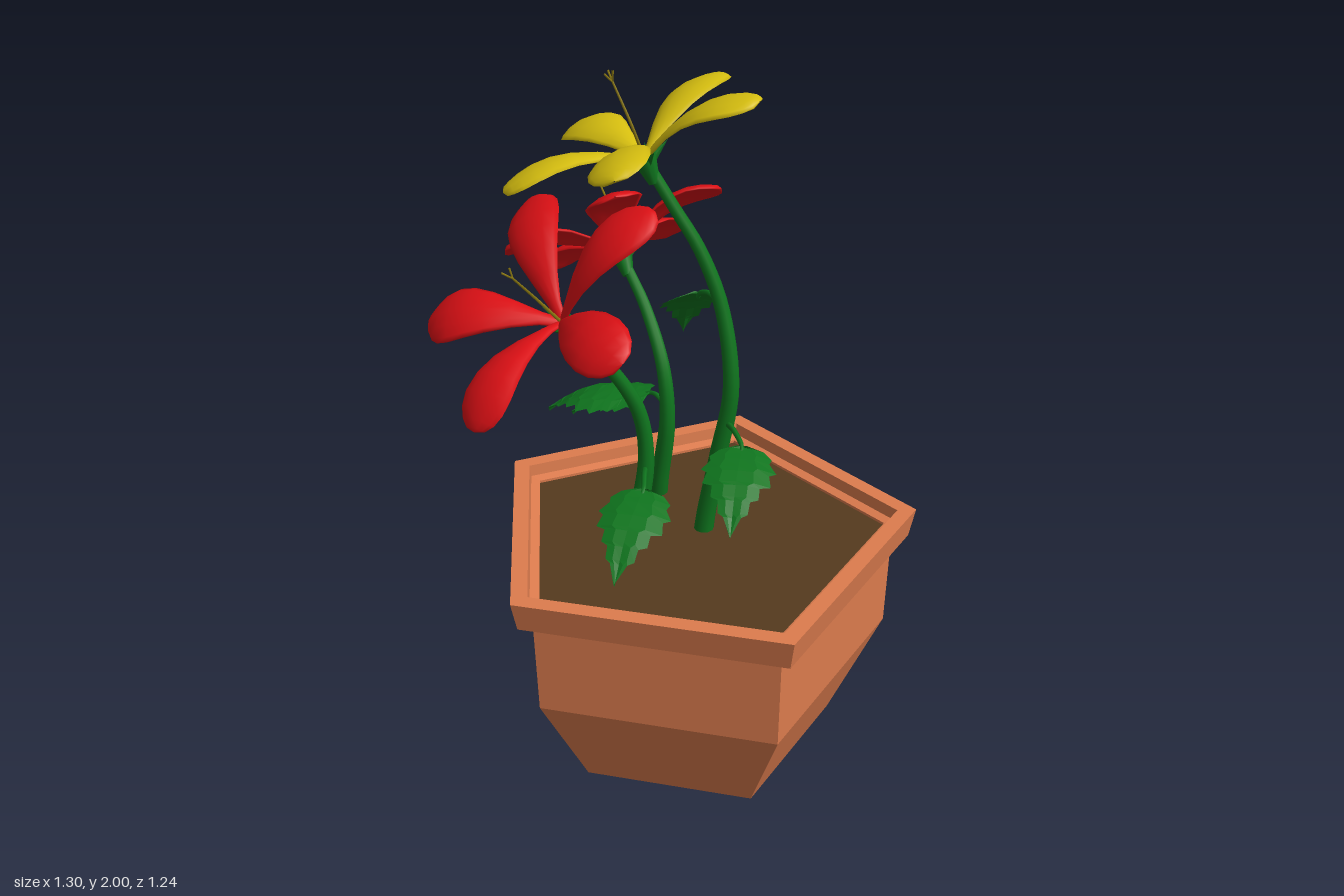
import * as THREE from 'three';

const V = (a) => new THREE.Vector3(...a);
const mat = (color, extra = {}) => new THREE.MeshStandardMaterial({ color, ...extra });
const clay = mat(0xdd7c4e, { flatShading: true });
const earth = mat(0x553a1e, { flatShading: true });
const green = mat(0x0f751e);
const leafGreen = mat(0x0f751e, { side: THREE.DoubleSide, flatShading: true });
const red = mat(0xdd1015);
const yellow = mat(0xd8c010);
const pollen = mat(0x8f7c12);

function add(parent, name, geometry, material) {
  const mesh = new THREE.Mesh(geometry, material);
  mesh.name = name;
  parent.add(mesh);
  return mesh;
}

// Smooth tube through points whose radius runs from r0 to r1
function taperedTube(points, r0, r1, steps = 20, sides = 8) {
  const curve = new THREE.CatmullRomCurve3(points.map(V));
  const geo = new THREE.TubeGeometry(curve, steps, 1, sides);
  const pos = geo.attributes.position, nor = geo.attributes.normal;
  for (let k = 0; k < pos.count; k++) {
    const t = Math.floor(k / (sides + 1)) / steps;
    const p = curve.getPointAt(t);
    p.addScaledVector(new THREE.Vector3().fromBufferAttribute(nor, k), r0 + (r1 - r0) * t);
    pos.setXYZ(k, p.x, p.y, p.z);
  }
  return geo;
}

// Grid of rows joined into a surface; closed rows wrap around
function gridSurface(rows, closed) {
  const n = rows[0].length, index = [];
  for (let i = 0; i < rows.length - 1; i++) {
    for (let j = 0; j < (closed ? n : n - 1); j++) {
      const a = i * n + j, c = i * n + ((j + 1) % n);
      index.push(a, c, a + n, c, c + n, a + n);
    }
  }
  const geo = new THREE.BufferGeometry();
  geo.setAttribute('position', new THREE.Float32BufferAttribute(rows.flat(2), 3));
  geo.setIndex(index);
  geo.computeVertexNormals();
  return geo;
}

// Petal along +x: thin rounded sections, arching up and drooping at the tip
function petalGeometry(length, rise) {
  const profile = [[0, 0.014], [0.12, 0.02], [0.28, 0.04], [0.45, 0.062], [0.6, 0.077],
    [0.74, 0.083], [0.85, 0.076], [0.93, 0.058], [0.98, 0.034], [1, 0.002]];
  const sides = 12;
  const rows = profile.map(([t, w]) => {
    const h = rise * Math.sin(2.3 * t), thick = Math.min(0.009, w * 0.5);
    return Array.from({ length: sides }, (_, j) => {
      const a = (j / sides) * Math.PI * 2, s = Math.sin(a);
      return [length * t, h + thick * Math.cos(a) - 0.2 * w * s * s, w * s];
    });
  });
  return gridSurface(rows, true);
}

// Flower head: local +y is the facing axis, the first petal lies along +x
function flower(name, center, axis, firstPetal, color, length, rise) {
  const head = new THREE.Group();
  head.name = name;
  const n = V(axis).normalize();
  const u = V(firstPetal).addScaledVector(n, -V(firstPetal).dot(n)).normalize();
  head.matrixAutoUpdate = true;
  head.quaternion.setFromRotationMatrix(
    new THREE.Matrix4().makeBasis(u, n, new THREE.Vector3().crossVectors(u, n)));
  head.position.set(...center);

  const petal = petalGeometry(length, rise);
  const sepal = new THREE.ConeGeometry(0.016, 0.075, 5).scale(1, 1, 0.5);
  for (let i = 0; i < 5; i++) {
    const angle = (i / 5) * Math.PI * 2;
    add(head, 'petal', petal, color).rotation.y = angle;
    const arm = new THREE.Group();
    arm.name = 'sepalArm';
    arm.rotation.y = angle + Math.PI / 5;
    const s = add(arm, 'sepal', sepal, green);
    s.position.set(0.042, 0.006, 0);
    s.rotation.z = -1.1;
    head.add(arm);
  }
  add(head, 'calyx', new THREE.CylinderGeometry(0.034, 0.016, 0.075, 10), green).position.y = -0.03;

  // Curved style with a forked end
  add(head, 'style', taperedTube([[0, 0, 0], [0.008, 0.1, 0.008], [0, 0.22, 0]], 0.005, 0.003, 8, 5), pollen);
  for (let i = 0; i < 3; i++) {
    const a = (i / 3) * Math.PI * 2;
    const end = [0.014 * Math.cos(a), 0.245, 0.014 * Math.sin(a)];
    add(head, 'stigma', taperedTube([[0, 0.215, 0], end], 0.0025, 0.003, 2, 5), pollen);
  }
  return head;
}

// Toothed leaf blade from base to tip, with its stalk back to the stem
function leaf(joint, base, tip) {
  const group = new THREE.Group();
  group.name = 'leaf';
  const a = V(base), b = V(tip), dir = b.clone().sub(a);
  const side = new THREE.Vector3().crossVectors(dir, new THREE.Vector3(0, 1, 0)).normalize();
  const up = new THREE.Vector3().crossVectors(side, dir).normalize();
  const outline = [[0, 0.012], [0.02, 0.06], [0.1, 0.085], [0.17, 0.08], [0.28, 0.102], [0.33, 0.084],
    [0.46, 0.092], [0.5, 0.064], [0.62, 0.064], [0.66, 0.043], [0.78, 0.04], [0.82, 0.024], [1, 0.001]];
  const rows = outline.map(([t, w]) => [-1, -0.5, 0, 0.5, 1].map((s) => {
    const sweep = Math.abs(s) * w * 0.25;
    return a.clone().addScaledVector(dir, t).addScaledVector(side, s * w)
      .addScaledVector(up, 0.035 * Math.sin(Math.PI * t) + 0.012 * Math.abs(s) - 0.03 * s * s * (w / 0.1))
      .addScaledVector(dir, sweep * (1 - t)).toArray();
  }));
  add(group, 'blade', gridSurface(rows, false), leafGreen);
  const mid = V(joint).lerp(a, 0.5).add(new THREE.Vector3(0, 0.012, 0));
  const inner = a.clone().addScaledVector(dir, 0.1);
  add(group, 'stalk', taperedTube([joint, mid.toArray(), base, inner.toArray()], 0.009, 0.006, 8, 6), green);
  return group;
}

export function createModel() {
  const model = new THREE.Group();
  model.name = 'pottedFlowers';

  // Five-sided pot with overhanging rim, and the soil inside it
  const pot = new THREE.Group();
  pot.name = 'pot';
  pot.position.set(0.04, 0, 0.077);
  const lathe = (pts) =>
    new THREE.LatheGeometry(pts.map((p) => new THREE.Vector2(...p)), 5, Math.PI).toNonIndexed();
  add(pot, 'potShell', lathe([[0, 0], [0.415, 0], [0.573, 0.325], [0.58, 0.61], [0.63, 0.622],
    [0.648, 0.71], [0.592, 0.71], [0.587, 0.675], [0.555, 0.668], [0.555, 0.63]]), clay);
  add(pot, 'soil', lathe([[0.557, 0.66], [0, 0.66]]), earth);
  model.add(pot);

  // Stems
  const stems = {
    middleStem: [[0.055, 0.64, 0.037], [0.065, 0.72, 0.037], [0.10, 0.92, 0.04], [0.133, 1.13, 0.04],
      [0.10, 1.36, 0.02], [0.04, 1.52, 0.02], [-0.03, 1.64, 0.028], [-0.088, 1.74, 0.036]],
    frontStem: [[-0.125, 0.64, 0.17], [-0.115, 0.72, 0.158], [-0.088, 0.92, 0.135], [-0.105, 1.08, 0.142],
      [-0.175, 1.24, 0.195], [-0.255, 1.375, 0.277]],
    backStem: [[-0.125, 0.64, -0.135], [-0.115, 0.72, -0.125], [-0.088, 0.92, -0.112], [-0.105, 1.08, -0.135],
      [-0.175, 1.23, -0.21], [-0.252, 1.335, -0.277]],
  };
  for (const [name, path] of Object.entries(stems)) {
    add(model, name, taperedTube(path, 0.029, 0.015, 32, 10), green);
  }

  // Flower heads
  model.add(flower('yellowFlower', [-0.105, 1.77, 0.04], [-0.09, 0.23, 0.01], [0.325, 0.17, 0.07], yellow, 0.37, 0.095));
  model.add(flower('frontRedFlower', [-0.267, 1.4, 0.29], [-0.1, 0.19, 0.133], [-0.38, -0.05, -0.025], red, 0.375, 0.125));
  model.add(flower('backRedFlower', [-0.267, 1.36, -0.29], [-0.41, 0.78, -0.46], [0.07, -0.05, -0.32], red, 0.34, 0.105));

  // Leaves: joint on stem, blade base, blade tip
  [
    [[0.09, 1.38, 0.02], [0.025, 1.37, -0.04], [-0.07, 1.15, -0.24]],
    [[0.12, 1.02, 0.04], [0.19, 1.015, 0.16], [0.215, 0.89, 0.43]],
    [[-0.09, 0.9, 0.137], [-0.06, 0.91, 0.27], [-0.07, 0.77, 0.54]],
    [[-0.1, 1.05, 0.14], [-0.16, 1.08, 0.06], [-0.4, 0.99, 0.035]],
    [[-0.09, 0.96, -0.115], [-0.15, 0.98, -0.16], [-0.4, 0.865, -0.18]],
  ].forEach((l) => model.add(leaf(...l)));

  return model;
}
